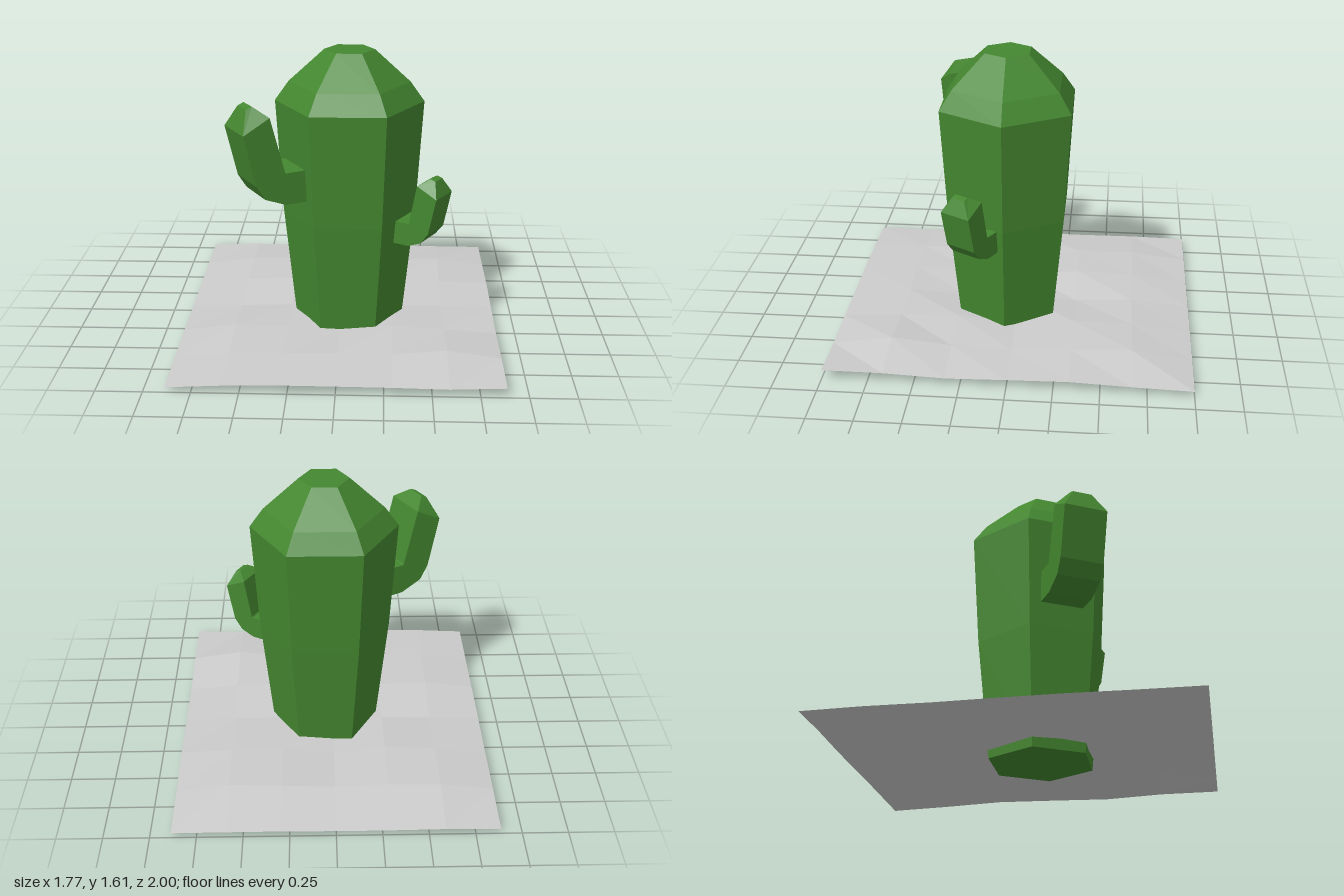
import * as THREE from 'three';

const green = new THREE.MeshStandardMaterial({ color: 0x448730, flatShading: true });
const grey = new THREE.MeshStandardMaterial({ color: 0xcccccc, flatShading: true, side: THREE.DoubleSide });

// Four-sided arm lofted through rings: [outer u, outer y, inner u, inner y, half width]
function armGeometry(rings) {
  const pos = [], index = [];
  for (const [ou, oy, iu, iy, w] of rings) {
    pos.push(ou, oy, w, ou, oy, -w, iu, iy, -w, iu, iy, w);
  }
  for (let r = 0; r < rings.length - 1; r++) {
    for (let k = 0; k < 4; k++) {
      const a = r * 4 + k, b = r * 4 + (k + 1) % 4;
      index.push(a, b, b + 4, a, b + 4, a + 4);
    }
  }
  const e = (rings.length - 1) * 4;
  index.push(e, e + 1, e + 2, e, e + 2, e + 3);
  const geo = new THREE.BufferGeometry();
  geo.setAttribute('position', new THREE.Float32BufferAttribute(pos, 3));
  geo.setIndex(index);
  const flat = geo.toNonIndexed();
  flat.computeVertexNormals();
  return flat;
}

// Uneven sand sheet, its heights bounded by ridge heights per column and row
function groundGeometry() {
  const colMax = [0.035, 0.075, 0.095, 0.07, 0.085, 0.115, 0.055];
  const rowMax = [0.035, 0.09, 0.09, 0.06, 0.09, 0.11, 0.06];
  let seed = 7;
  const rand = () => (seed = (seed * 16807) % 2147483647) / 2147483647;
  const geo = new THREE.PlaneGeometry(1.77, 2, 6, 6).rotateX(-Math.PI / 2);
  const p = geo.attributes.position;
  for (let i = 0; i < p.count; i++) {
    const top = Math.min(colMax[i % 7], rowMax[Math.floor(i / 7)]);
    p.setY(i, THREE.MathUtils.lerp(0.025, top, 0.35 + 0.65 * rand()));
  }
  geo.computeVertexNormals();
  return geo;
}

export function createModel() {
  const model = new THREE.Group();
  model.name = 'cactus';
  const add = (name, geo, mat, parent) => {
    const mesh = new THREE.Mesh(geo, mat);
    mesh.name = name;
    parent.add(mesh);
    return mesh;
  };

  add('ground', groundGeometry(), grey, model);

  const plant = new THREE.Group();
  plant.name = 'plant';
  plant.position.set(0.046, 0, 0.06);
  model.add(plant);

  // Hexagonal trunk, widening upwards to a bevelled crown
  const profile = [[0, 0], [0.305, 0], [0.375, 0.68], [0.415, 1.32], [0.337, 1.43], [0.14, 1.61], [0, 1.61]]
    .map(([r, y]) => new THREE.Vector2(r, y));
  add('trunk', new THREE.LatheGeometry(profile, 6, Math.PI / 2), green, plant);

  // Large arm on the right
  const rightArm = add('rightArm', armGeometry([
    [0.29, 0.82, 0.29, 1.0, 0.125],
    [0.455, 0.82, 0.45, 1.0, 0.125],
    [0.58, 0.87, 0.455, 1.0, 0.125],
    [0.63, 0.95, 0.46, 1.005, 0.125],
    [0.70, 1.24, 0.545, 1.32, 0.125],
    [0.65, 1.36, 0.615, 1.375, 0.055],
  ]), green, plant);
  rightArm.rotation.y = -Math.PI * 5 / 6;

  // Small arm on the left, set slightly back from the middle of its face
  const leftArm = add('leftArm', armGeometry([
    [0.28, 0.55, 0.28, 0.68, 0.092],
    [0.406, 0.55, 0.4, 0.68, 0.092],
    [0.48, 0.58, 0.405, 0.68, 0.092],
    [0.528, 0.64, 0.409, 0.685, 0.092],
    [0.575, 0.85, 0.455, 0.91, 0.092],
    [0.54, 0.935, 0.51, 0.945, 0.04],
  ]).translate(0, 0, -0.054), green, plant);
  leftArm.rotation.y = -Math.PI / 6;

  return model;
}
